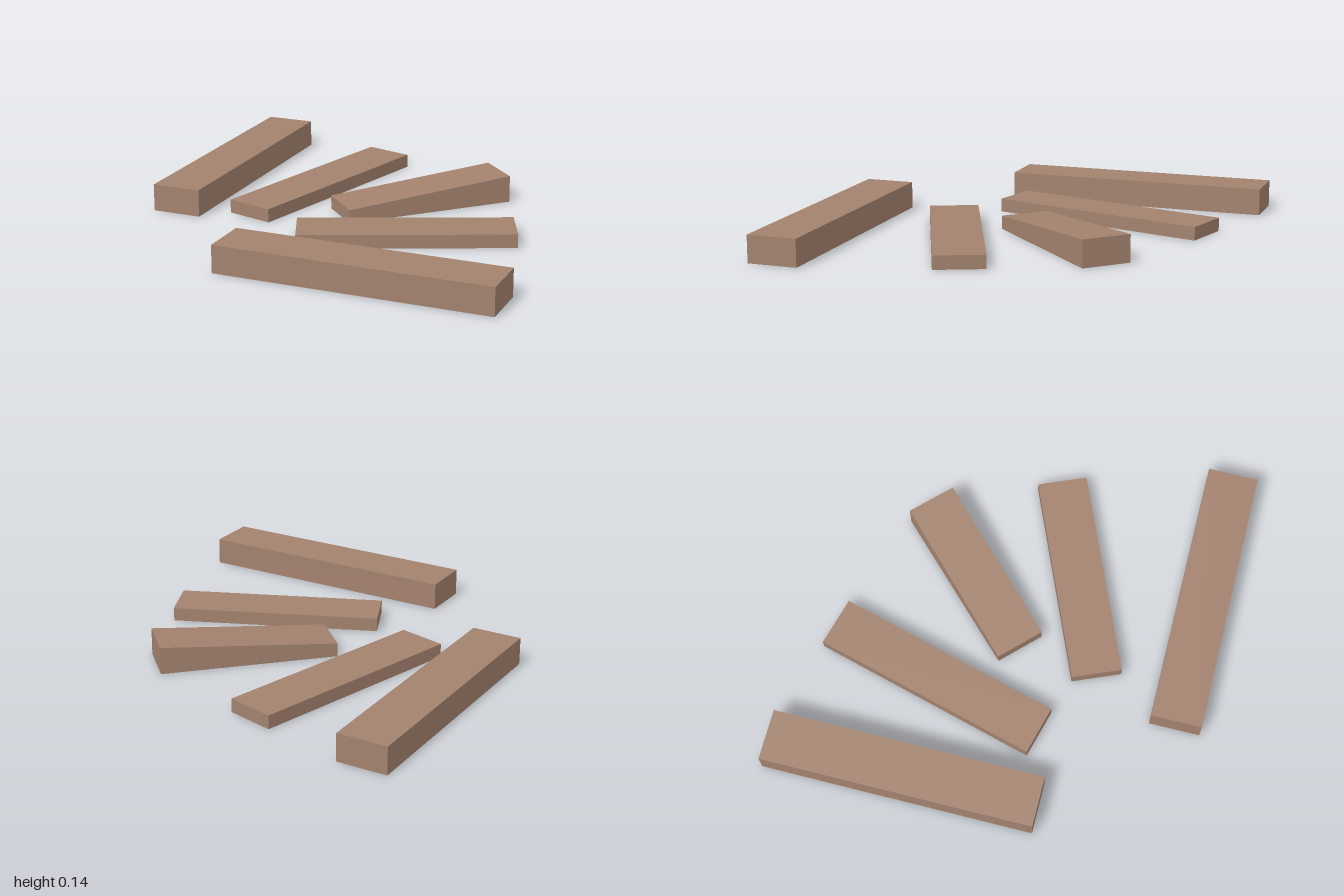
import * as THREE from 'three';

const material = new THREE.MeshStandardMaterial({ color: 0xa3826e, flatShading: true });

// Plank lying on the ground; the height may differ between inner and outer end
function plank(name, length, width, innerHeight, outerHeight, x, z, degrees) {
  const geometry = new THREE.BoxGeometry(length, 1, width);
  const pos = geometry.attributes.position;
  for (let i = 0; i < pos.count; i++) {
    const height = pos.getX(i) > 0 ? outerHeight : innerHeight;
    pos.setY(i, pos.getY(i) > 0 ? height : 0);
  }
  geometry.computeVertexNormals();
  const mesh = new THREE.Mesh(geometry, material);
  mesh.name = name;
  mesh.position.set(x, 0, z);
  mesh.rotation.y = THREE.MathUtils.degToRad(degrees);
  return mesh;
}

export function createModel() {
  const group = new THREE.Group();
  group.name = 'plankFan';
  const thick = 0.135, thin = 0.067;
  group.add(
    // Thick outer beams
    plank('rightBeam', 1.334, 0.248, thick, thick, -0.876, -0.333, 90),
    plank('frontBeam', 1.334, 0.248, thick, thick, 0.333, 0.876, 0),
    // Thin planks between them
    plank('rightPlank', 1.14, 0.245, thin, thin, -0.371, -0.302, 75),
    plank('frontPlank', 1.037, 0.247, thin, thin, 0.306, 0.249, 23),
    // Short middle wedge, rising outwards
    plank('middleWedge', 0.866, 0.247, thin, thick, 0.189, -0.253, 45)
  );
  return group;
}
